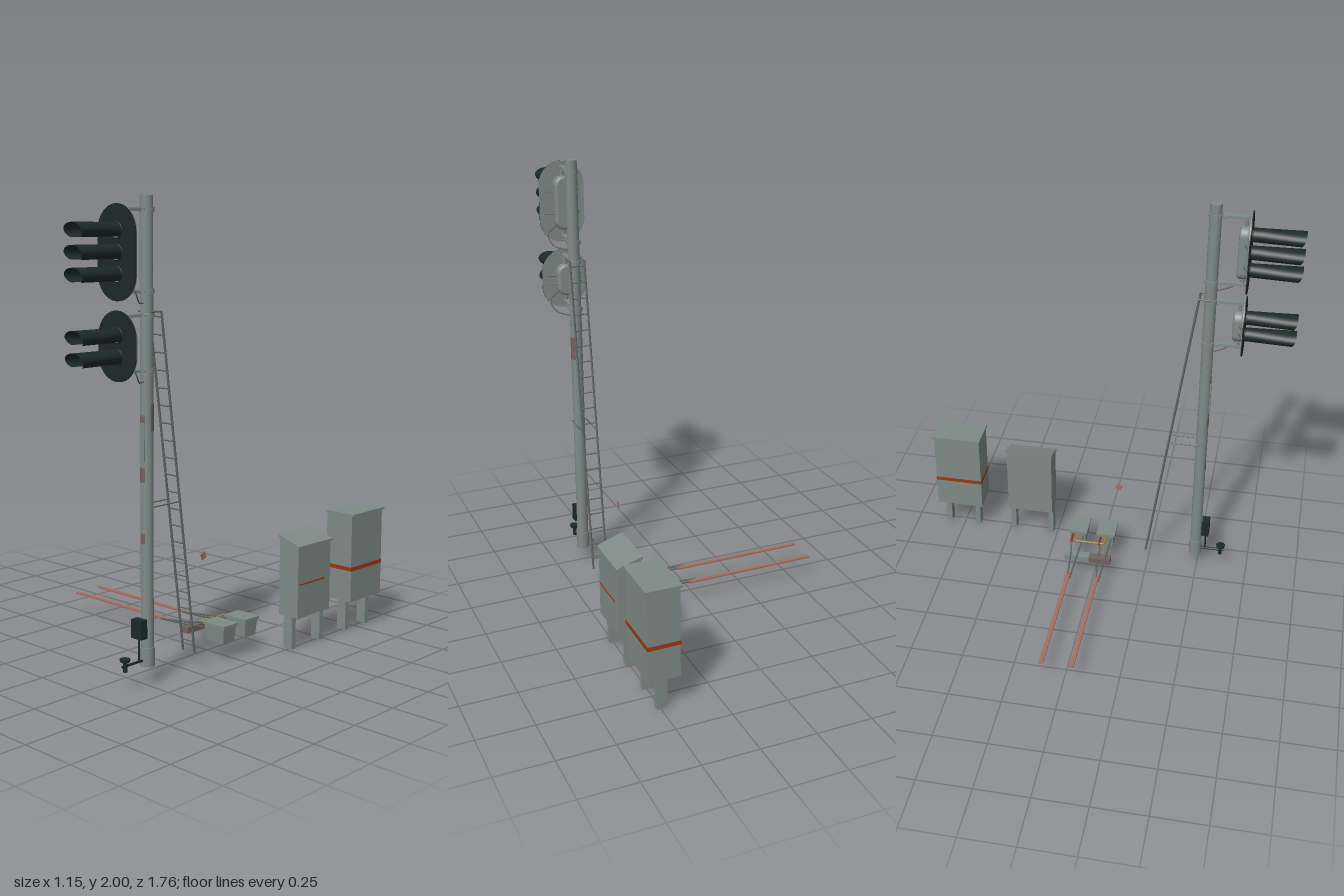
import * as THREE from 'three';

const mat = (name, color) => new THREE.MeshStandardMaterial({ name, color, side: THREE.DoubleSide });
const V = (x, y, z) => new THREE.Vector3(x, y, z);

export function createModel() {
  const root = new THREE.Group();
  root.name = 'trackSignal';
  const grey = mat('paintedGrey', 0x7f8a87);
  const dark = mat('signalBlack', 0x1d2a28);
  const steel = mat('ladderSteel', 0x5f6866);
  const lensMat = mat('lensGrey', 0x97a19e);
  const rust = mat('rust', 0x74625e);
  const rail = mat('rodRust', 0xa36f64);
  const orange = mat('stripeOrange', 0x9c3512);
  const yellow = mat('pipeYellow', 0xa8843c);

  const add = (name, geo, m, x = 0, y = 0, z = 0, parent = root) => {
    const mesh = new THREE.Mesh(geo, m);
    mesh.name = name;
    mesh.position.set(x, y, z);
    parent.add(mesh);
    return mesh;
  };
  // box given by its minimum and maximum corners
  const box = (name, m, x0, x1, y0, y1, z0, z1) => add(name,
    new THREE.BoxGeometry(x1 - x0, y1 - y0, z1 - z0), m, (x0 + x1) / 2, (y0 + y1) / 2, (z0 + z1) / 2);
  // straight round bar between two points
  const bar = (name, m, a, b, r) => {
    const mesh = add(name, new THREE.CylinderGeometry(r, r, a.distanceTo(b), 8), m);
    mesh.position.copy(a).lerp(b, 0.5);
    mesh.quaternion.setFromUnitVectors(V(0, 1, 0), b.clone().sub(a).normalize());
    return mesh;
  };
  const cable = (name, m, pts, r = 0.003) =>
    add(name, new THREE.TubeGeometry(new THREE.CatmullRomCurve3(pts), 16, r, 6), m);
  // upright stadium outline
  const stadium = (r, h) => {
    const s = new THREE.Shape();
    s.absarc(0, h, r, 0, Math.PI);
    s.absarc(0, -h, r, Math.PI, Math.PI * 2);
    s.closePath();
    return s;
  };
  const plate = (r, h, depth, bevel = 0) => new THREE.ExtrudeGeometry(stadium(r - bevel, h), {
    depth: depth - 2 * bevel, curveSegments: 20, bevelEnabled: bevel > 0,
    bevelSize: bevel, bevelThickness: bevel, bevelSegments: 4 }).translate(0, 0, bevel);

  // Mast
  const mx = 0.365, mz = 0.488, mr = 0.027;
  add('mast', new THREE.CylinderGeometry(mr, mr, 1.92, 20), grey, mx, 1.04, mz);
  add('mastBase', new THREE.CylinderGeometry(0.031, 0.031, 0.08, 20), grey, mx, 0.12, mz);
  const patch = (y, h, start, len) => add('rustPatch',
    new THREE.CylinderGeometry(mr + 0.001, mr + 0.001, h, 8, 1, true, start, len), rust, mx, y, mz);
  patch(0.885, 0.06, -0.7, 1.2);
  patch(0.622, 0.045, -0.6, 1.1);
  patch(1.115, 0.03, -0.6, 1.1);
  patch(1.12, 0.11, 1.4, 1.2);
  box('mastConduit', grey, 0.353, 0.377, 0.94, 1.1, 0.51, 0.517);

  // Hood: tunnel that flares sideways, its mouth cut back towards the bottom
  const hoodGeometry = () => {
    const g = new THREE.PlaneGeometry(1, 1, 20, 6), p = g.attributes.position;
    for (let i = 0; i < p.count; i++) {
      const a = Math.PI / 2 - p.getX(i) * Math.PI * 1.6;
      const t = p.getY(i) + 0.5;
      const len = 0.236 - 0.026 * Math.pow((1 - Math.sin(a)) / 2, 2);
      p.setXYZ(i, Math.cos(a) * (0.031 + 0.019 * t), Math.sin(a) * 0.031, t * len);
    }
    g.computeVertexNormals();
    return g;
  };

  // Signal heads
  const head = (name, cy, h, caseH, lamps) => {
    const g = new THREE.Group();
    g.name = name;
    root.add(g);
    add('backboardFront', plate(0.107, h, 0.004), dark, mx - 0.002, cy, 0.645, g);
    add('backboardRear', plate(0.107, h, 0.004), grey, mx - 0.002, cy, 0.641, g);
    add('lampCase', plate(0.042, caseH, 0.048, 0.014), grey, mx, cy, 0.595, g);
    lamps.forEach((y) => {
      add('lens', new THREE.CircleGeometry(0.029, 24), lensMat, mx, y, 0.653, g);
      add('lensRing', new THREE.TorusGeometry(0.031, 0.003, 6, 24), dark, mx, y, 0.651, g);
      add('hood', hoodGeometry(), dark, mx, y, 0.645, g);
    });
    // mounting brackets above and below the case
    const top = cy + caseH + 0.042, bot = cy - caseH - 0.042;
    [[top + 0.04, top - 0.01], [bot - 0.03, bot + 0.01]].forEach(([y, end]) => {
      add('bracketClamp', new THREE.CylinderGeometry(0.032, 0.032, 0.018, 16), grey, mx, y, mz);
      box('bracketArm', grey, mx - 0.012, mx + 0.012, y - 0.006, y + 0.006, mz, 0.632);
      box('bracketArm', grey, mx - 0.03, mx + 0.03, y - 0.004, y + 0.004, 0.522, 0.53);
      bar('bracketPin', grey, V(mx, y + (y > cy ? 0.008 : -0.012), 0.622), V(mx, end, 0.622), 0.008);
    });
    cable('headCable', steel, [V(mx + 0.03, bot + 0.03, 0.615), V(mx + 0.075, bot - 0.02, 0.625),
      V(mx + 0.06, bot - 0.065, 0.59), V(mx + 0.02, bot - 0.075, 0.54), V(mx, bot - 0.075, 0.5)]);
    [-1, 1].forEach((s) => [0.6, -0.6].forEach((k) =>
      bar('backboardStay', steel, V(mx, cy + k * caseH, 0.61), V(mx + s * 0.085, cy + k * caseH, 0.641), 0.003)));
  };
  head('upperHead', 1.78, 0.081, 0.083, [1.866, 1.781, 1.696]);
  head('lowerHead', 1.416, 0.033, 0.033, [1.459, 1.374]);

  // Ladder leaning on the back of the mast
  const foot = V(0, 0.08, 0.24), tip = V(0, 1.545, 0.44);
  [0.332, 0.4].forEach((x) => {
    bar('ladderRail', steel, foot.clone().setX(x), tip.clone().setX(x), 0.005);
    bar('ladderTopStay', steel, V(x, 1.545, 0.44), V(x, 1.545, 0.5), 0.004);
    bar('ladderMidStay', steel, V(x, 0.755, 0.333), V(x, 0.755, 0.49), 0.003);
  });
  for (let i = 0; i < 20; i++) {
    const p = foot.clone().lerp(tip, (i + 0.7) / 20);
    bar('ladderRung', steel, p.clone().setX(0.332), p.clone().setX(0.4), 0.003);
  }

  // Telephone box and sounder at the foot of the mast
  box('controlBox', dark, 0.336, 0.394, 0.207, 0.287, 0.517, 0.553);
  bar('controlConduit', dark, V(mx, 0.105, 0.537), V(mx, 0.21, 0.537), 0.004);
  bar('sounderArm', dark, V(mx, 0.107, 0.5), V(mx, 0.107, 0.632), 0.006);
  bar('sounderStem', dark, V(mx, 0.082, 0.615), V(mx, 0.135, 0.615), 0.009);
  add('sounderCap', new THREE.CylinderGeometry(0.023, 0.02, 0.012, 16), dark, mx, 0.132, 0.616);

  // Small cabinet with a roof sloping towards +x
  const wedge = (x0, x1, y0, yl, yr, z0, z1, name) => {
    const s = new THREE.Shape([[x0, y0], [x1, y0], [x1, yr], [x0, yl]].map((p) => new THREE.Vector2(...p)));
    add(name, new THREE.ExtrudeGeometry(s, { depth: z1 - z0, bevelEnabled: false }), grey, 0, 0, z0);
  };
  wedge(0.442, 0.548, 0.15, 0.512, 0.472, -0.5, -0.27, 'smallCabinet');
  const roof = new THREE.Shape([[0.436, 0.505], [0.555, 0.468], [0.555, 0.479], [0.436, 0.519]].map((p) => new THREE.Vector2(...p)));
  add('smallCabinetRoof', new THREE.ExtrudeGeometry(roof, { depth: 0.242, bevelEnabled: false }), grey, 0, 0, -0.508);
  box('smallCabinetStripe', orange, 0.547, 0.55, 0.299, 0.305, -0.46, -0.28);

  // Large cabinet with a stripe all round
  box('largeCabinet', grey, 0.423, 0.565, 0.15, 0.56, -0.872, -0.638);
  box('largeCabinetRoof', grey, 0.416, 0.575, 0.558, 0.568, -0.88, -0.634);
  box('largeCabinetStripe', orange, 0.421, 0.567, 0.298, 0.316, -0.874, -0.636);

  // Cabinet legs
  [-0.283, -0.482, -0.678, -0.833].forEach((z) => box('cabinetLeg', grey, 0.47, 0.518, 0, 0.155, z - 0.013, z + 0.013));

  // Track connection boxes with tapered bodies and overhanging lids
  [-0.105, 0.037].forEach((z) => {
    const body = new THREE.CylinderGeometry(0.0566, 0.05, 0.075, 4, 1).rotateY(Math.PI / 4).scale(1.42, 1, 1);
    const flat = body.toNonIndexed();
    flat.computeVertexNormals();
    add('junctionBox', flat, grey, 0.363, 0.1175, z);
    box('junctionLid', grey, 0.302, 0.425, 0.152, 0.164, z - 0.046, z + 0.046);

    // bond rod and its leads
    box('bondRod', rail, -0.58, 0.052, 0.101, 0.109, z - 0.01 + 0.002, z + 0.01 + 0.002);
    cable('bondLead', steel, [V(0.04, 0.107, z), V(0.12, 0.112, z - 0.008), V(0.19, 0.12, z - 0.014), V(0.26, 0.14, z - 0.024)], 0.004);
    cable('bondLead', steel, [V(0.01, 0.107, z + 0.016), V(0.12, 0.112, z + 0.018), V(0.2, 0.12, z + 0.022), V(0.31, 0.135, z + 0.028)], 0.004);
    bar('orangePipe', orange, V(0.25, 0.14, z - 0.025), V(0.31, 0.14, z - 0.025), 0.006);
    bar('yellowPipe', yellow, V(0.255, 0.142, z), V(0.31, 0.142, z), 0.005);
  });
  bar('yellowLink', yellow, V(0.256, 0.142, -0.105), V(0.256, 0.142, 0.037), 0.004);

  // Cable block, half painted and half rusted
  box('cableBlock', grey, 0.168, 0.21, 0.085, 0.114, -0.148, 0.025 - 0.05);
  box('cableBlockRusted', rust, 0.168, 0.21, 0.085, 0.114, -0.025, 0.083);

  // Small loose tag
  const tag = box('tag', rail, 0.317, 0.319, 0.45, 0.48, 0.085, 0.115);
  tag.rotation.x = 0.4;
  return root;
}
